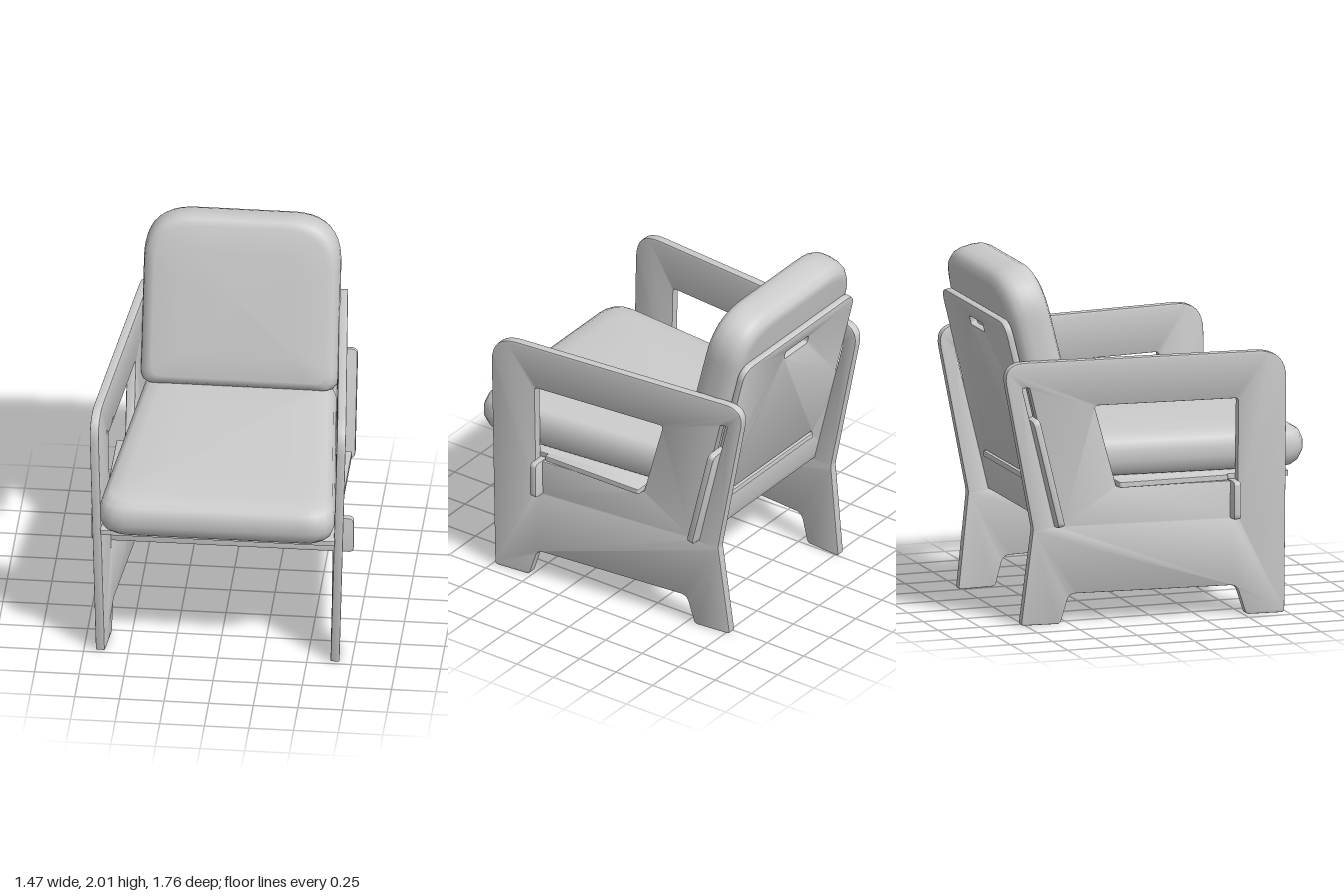
import * as THREE from 'three';
import { toCreasedNormals } from 'three/addons/utils/BufferGeometryUtils.js';

const PLY = 0.05; // side panel thickness
const LEAN = 0.24; // backrest lean, radians

// Trace a polygon of [x, y, cornerCut] points with rounded corners.
function trace(path, pts) {
  const n = pts.length;
  pts.forEach(([x, y, r = 0], i) => {
    const p = new THREE.Vector2(x, y);
    const toward = (q) => new THREE.Vector2(q[0], q[1]).sub(p).setLength(r || 1e-4).add(p);
    const a = toward(pts[(i + n - 1) % n]);
    const b = toward(pts[(i + 1) % n]);
    if (i === 0) path.moveTo(a.x, a.y);
    else path.lineTo(a.x, a.y);
    path.quadraticCurveTo(x, y, b.x, b.y);
  });
  path.closePath();
  return path;
}

// Mirror the +x half of an outline (listed bottom to top) onto -x.
const mirrored = (half) => [...half, ...half.slice().reverse().map(([x, y, r]) => [-x, y, r])];

// Flat board with slightly eased edges, centred on z = 0.
function board(outline, holes, thickness) {
  const shape = trace(new THREE.Shape(), outline);
  shape.holes = holes.map((h) => trace(new THREE.Path(), h));
  const b = 0.006;
  return new THREE.ExtrudeGeometry(shape, {
    depth: thickness - 2 * b, curveSegments: 8,
    bevelThickness: b, bevelSize: b, bevelOffset: -b, bevelSegments: 2,
  }).translate(0, 0, b - thickness / 2);
}

// Padded cushion: rings of the outline scaled about its centre along [scale, height].
function cushion(outline, cy, profile) {
  const ring = trace(new THREE.Shape(), outline).getSpacedPoints(96).slice(0, -1);
  const n = ring.length;
  const pos = [];
  const index = [];
  profile.forEach(([s, h], j) => {
    ring.forEach((p, i) => {
      pos.push(p.x * s, cy + (p.y - cy) * s, h);
      if (j === profile.length - 1) return;
      const a = j * n + i;
      const b = j * n + ((i + 1) % n);
      index.push(a, b, b + n, a, b + n, a + n);
    });
  });
  const geo = new THREE.BufferGeometry();
  geo.setAttribute('position', new THREE.Float32BufferAttribute(pos, 3));
  geo.setIndex(index);
  geo.computeVertexNormals();
  return geo;
}

export function createModel() {
  const model = new THREE.Group();
  model.name = 'armchair';
  const grey = new THREE.MeshStandardMaterial({ color: 0xcccccc });
  grey.name = 'light grey';
  const add = (parent, name, geo) => {
    const mesh = new THREE.Mesh(geo, grey);
    mesh.name = name;
    parent.add(mesh);
    return mesh;
  };

  // Side panels, drawn in (-z, y), with legs, arm opening and backrest slot
  const panelOutline = [
    [-0.735, 0, 0.02], [-0.515, 0, 0.02], [-0.46, 0.17, 0.04], [0.5, 0.17, 0.04],
    [0.55, 0, 0.02], [0.775, 0, 0.02], [0.71, 0.55, 0.02], [0.895, 1.505, 0.13], [-0.735, 1.505, 0.17],
  ];
  const armOpening = [
    [-0.46, 1.24, 0.02], [-0.46, 0.56, 0.005], [-0.42, 0.56, 0.005],
    [-0.42, 0.77, 0.01], [0.235, 0.77, 0.01], [0.365, 1.24, 0.025],
  ];
  const backSlot = [[0.545, 0.56], [0.587, 0.56], [0.78, 1.36, 0.01], [0.738, 1.36, 0.01]];
  // Panels toe in towards the back and splay out towards the top
  const panelX = (y, z) => 0.575 + 0.0906 * (z + 0.87) + 0.025 * (y - 1.5) - PLY / 2;
  for (const side of [1, -1]) {
    const geo = board(panelOutline, [armOpening, backSlot], PLY).rotateY(Math.PI / 2);
    const p = geo.attributes.position;
    for (let i = 0; i < p.count; i++) {
      p.setX(i, p.getX(i) + side * panelX(p.getY(i), p.getZ(i)));
    }
    add(model, side > 0 ? 'leftSidePanel' : 'rightSidePanel', toCreasedNormals(geo, 0.6));
  }

  // Front rail running through the panels
  const rail = board(mirrored([[0.735, 0.555, 0.03], [0.735, 0.772, 0.03]]), [], 0.04);
  add(model, 'frontRail', toCreasedNormals(rail, 0.6)).position.z = 0.44;

  // Seat board, drawn in (x, -z), with side tabs and a rear tab
  const seatBoard = board(mirrored([
    [0.66, -0.77, 0.02], [0.63, -0.41], [0.66, -0.41, 0.01], [0.66, 0.23, 0.01],
    [0.565, 0.23], [0.53, 0.6], [0.42, 0.6], [0.42, 0.66, 0.01],
  ]), [], 0.032).rotateX(-Math.PI / 2);
  add(model, 'seatBoard', toCreasedNormals(seatBoard, 0.6)).position.y = 0.786;

  // Seat cushion
  const seatCushion = cushion(
    mirrored([[0.67, -0.885, 0.15], [0.535, 0.61, 0.06]]), -0.14,
    [[0, 0.806], [0.86, 0.806], [0.93, 0.818], [0.975, 0.85], [1, 0.9], [1, 0.96],
      [0.975, 1.01], [0.92, 1.036], [0.8, 1.05], [0.5, 1.062], [0, 1.066]],
  ).rotateX(-Math.PI / 2);
  add(model, 'seatCushion', seatCushion);

  // Leaning backrest: board with side tabs, grip hole and slot, plus its cushion
  const backrest = new THREE.Group();
  backrest.name = 'backrest';
  backrest.position.set(0, 0.56, -0.565);
  backrest.rotation.x = -LEAN;
  model.add(backrest);
  const backBoard = board(
    mirrored([[0.645, 0, 0.04], [0.645, 0.64, 0.04], [0.53, 0.64], [0.53, 1.205, 0.09]]),
    [
      mirrored([[0.11, 1.07, 0.015], [0.11, 1.12, 0.015]]),
      mirrored([[0.425, 0.215, 0.01], [0.425, 0.255, 0.01]]),
    ], 0.04,
  );
  add(backrest, 'backBoard', toCreasedNormals(backBoard, 0.6));
  const backCushion = cushion(
    mirrored([[0.555, 0.44, 0.07], [0.548, 1.446, 0.27]]), 0.94,
    [[0, 0.02], [0.86, 0.02], [0.94, 0.035], [0.985, 0.07], [1, 0.11], [1, 0.17],
      [0.985, 0.22], [0.95, 0.25], [0.88, 0.268], [0.6, 0.278], [0, 0.282]],
  );
  add(backrest, 'backCushion', backCushion);

  return model;
}
